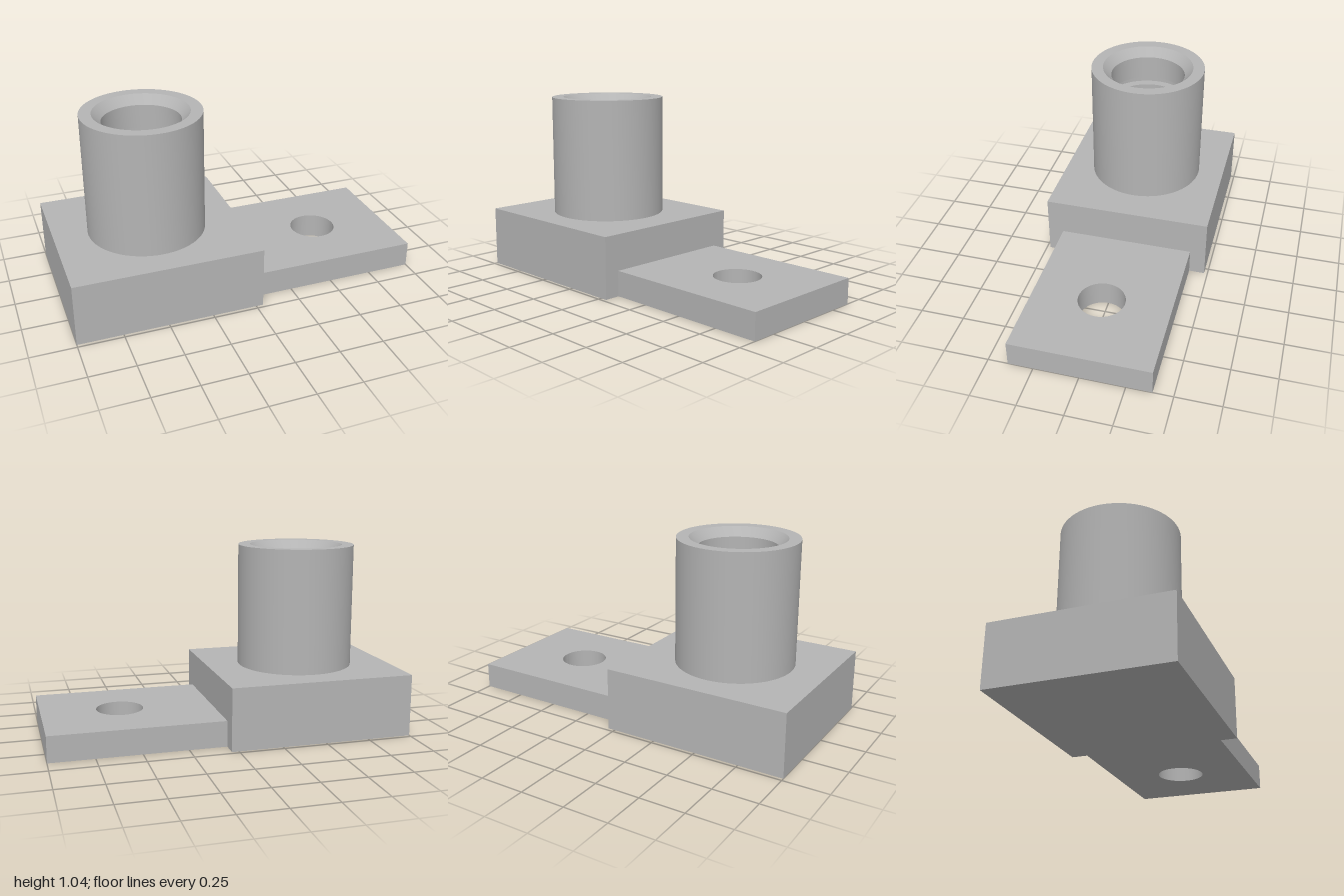
import * as THREE from 'three';
import { toCreasedNormals } from 'three/addons/utils/BufferGeometryUtils.js';

export function createModel() {
  const model = new THREE.Group();
  const metal = new THREE.MeshStandardMaterial({ color: 0xb4b4b4 });
  metal.name = 'grey metal';

  function add(name, geometry, x, y, z) {
    const mesh = new THREE.Mesh(geometry, metal);
    mesh.name = name;
    mesh.position.set(x, y, z);
    model.add(mesh);
    return mesh;
  }

  // Thick rectangular base block
  add('baseBlock', new THREE.BoxGeometry(1.04, 0.35, 0.96), -0.48, 0.175, 0);

  // Thin mounting tab with a round through hole
  const outline = new THREE.Shape([
    new THREE.Vector2(0.04, -0.39),
    new THREE.Vector2(1, -0.39),
    new THREE.Vector2(1, 0.39),
    new THREE.Vector2(0.04, 0.39),
  ]);
  const hole = new THREE.Path();
  hole.absarc(0.56, 0, 0.132, 0, Math.PI * 2, true);
  outline.holes.push(hole);
  const tab = new THREE.ExtrudeGeometry(outline, { depth: 0.145, bevelEnabled: false, curveSegments: 48 });
  tab.rotateX(-Math.PI / 2);
  add('mountingTab', toCreasedNormals(tab, 0.5), 0, 0, 0);

  // Hollow post: outer wall, chamfered mouth, inner groove and blind bore
  const profile = [
    [0.33, 0.35], [0.33, 1.045],
    [0.263, 1.045], [0.215, 0.995],
    [0.215, 0.86], [0.263, 0.86],
    [0.263, 0.81], [0.215, 0.81],
    [0.215, 0.36], [0, 0.36],
  ].map(([r, y]) => new THREE.Vector2(r, y));
  const post = new THREE.LatheGeometry(profile, 72);
  add('hollowPost', toCreasedNormals(post, 0.5), -0.48, 0, 0);

  return model;
}
